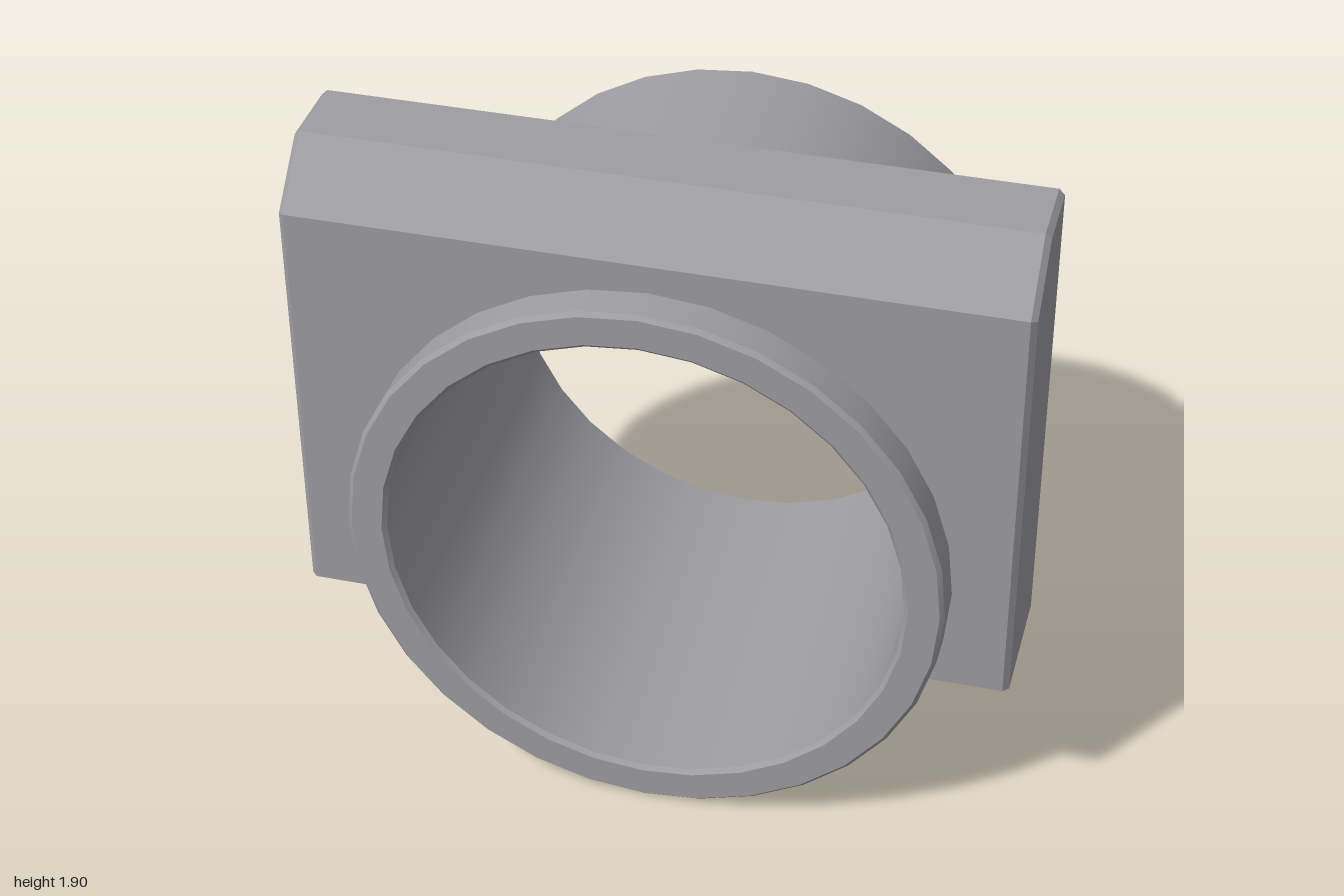
import * as THREE from 'three';
import { toCreasedNormals } from 'three/addons/utils/BufferGeometryUtils.js';

const R = 0.83, INNER = 0.72, LENGTH = 1.27, SIDES = 32, BEVEL = 0.012;
const BASE = 0.52, BACK = 0.15, FRONT = 0.525, TOP = 1.9, EDGE = 0.016;

// Flat-shaded sheet from convex polygons, each a counterclockwise list of corners
function sheet(polygons) {
  const pos = [];
  for (const p of polygons)
    for (let i = 1; i < p.length - 1; i++) pos.push(...p[0], ...p[i], ...p[i + 1]);
  const g = new THREE.BufferGeometry();
  g.setAttribute('position', new THREE.Float32BufferAttribute(pos, 3));
  g.computeVertexNormals();
  return g;
}

export function createModel() {
  const model = new THREE.Group();
  model.name = 'pipeBracket';
  const grey = new THREE.MeshStandardMaterial({ color: 0x9d9da2, side: THREE.DoubleSide });
  grey.name = 'grey';
  const add = (name, geometry, parent) => {
    const mesh = new THREE.Mesh(geometry, grey);
    mesh.name = name;
    parent.add(mesh);
    return mesh;
  };

  // Tube with small bevels on all four rims
  const h = LENGTH / 2, b = BEVEL;
  const profile = [
    [INNER, -h + b], [INNER + b, -h], [R - b, -h], [R, -h + b],
    [R, h - b], [R - b, h], [INNER + b, h], [INNER, h - b], [INNER, -h + b],
  ].map(([r, y]) => new THREE.Vector2(r, y));
  const tube = new THREE.LatheGeometry(profile, SIDES).rotateX(Math.PI / 2);
  add('tube', toCreasedNormals(tube, 0.5), model).position.y = R;

  // Hollow cover, open at the back and bottom
  const cover = new THREE.Group();
  cover.name = 'cover';
  model.add(cover);

  // Side outline as [y, z], and the same outline drawn in by the edge bevel
  const outer = [[BASE, FRONT], [1.74, FRONT], [TOP, 0.365], [TOP, BACK]];
  const inset = [[BASE, FRONT - EDGE], [1.733, FRONT - EDGE], [TOP - EDGE, 0.358], [TOP - EDGE, BACK]];
  const xIn = 1 - EDGE;

  // Front plate, cut away where the tube passes through
  const hole = R - 0.015;
  const start = Math.asin((BASE - R) / hole);
  const plate = new THREE.Shape();
  plate.moveTo(xIn, BASE);
  plate.lineTo(xIn, 1.74);
  plate.lineTo(-xIn, 1.74);
  plate.lineTo(-xIn, BASE);
  plate.absarc(0, R, hole, Math.PI - start, start, true);
  plate.closePath();
  add('frontPlate', new THREE.ShapeGeometry(plate, SIDES).translate(0, 0, FRONT), cover);

  // Sloped face and top
  const across = (i) => {
    const [a, c] = [outer[i], outer[i + 1]];
    return [[-xIn, ...a], [xIn, ...a], [xIn, ...c], [-xIn, ...c]];
  };
  add('slope', sheet([across(1)]), cover);
  add('topPlate', sheet([across(2)]), cover);

  // Side walls and their bevelled edges
  for (const s of [1, -1]) {
    const turn = (p) => (s > 0 ? p : p.reverse());
    const wall = [...inset, [BASE, BACK]].map((p) => [s, ...p]).reverse();
    const bevels = [0, 1, 2].map((i) => turn([
      [s * xIn, ...outer[i]], [s, ...inset[i]], [s, ...inset[i + 1]], [s * xIn, ...outer[i + 1]],
    ]));
    const side = s > 0 ? 'left' : 'right';
    add(side + 'Wall', sheet([turn(wall.reverse()).reverse()]), cover);
    add(side + 'EdgeBevel', sheet(bevels), cover);
  }
  return model;
}
